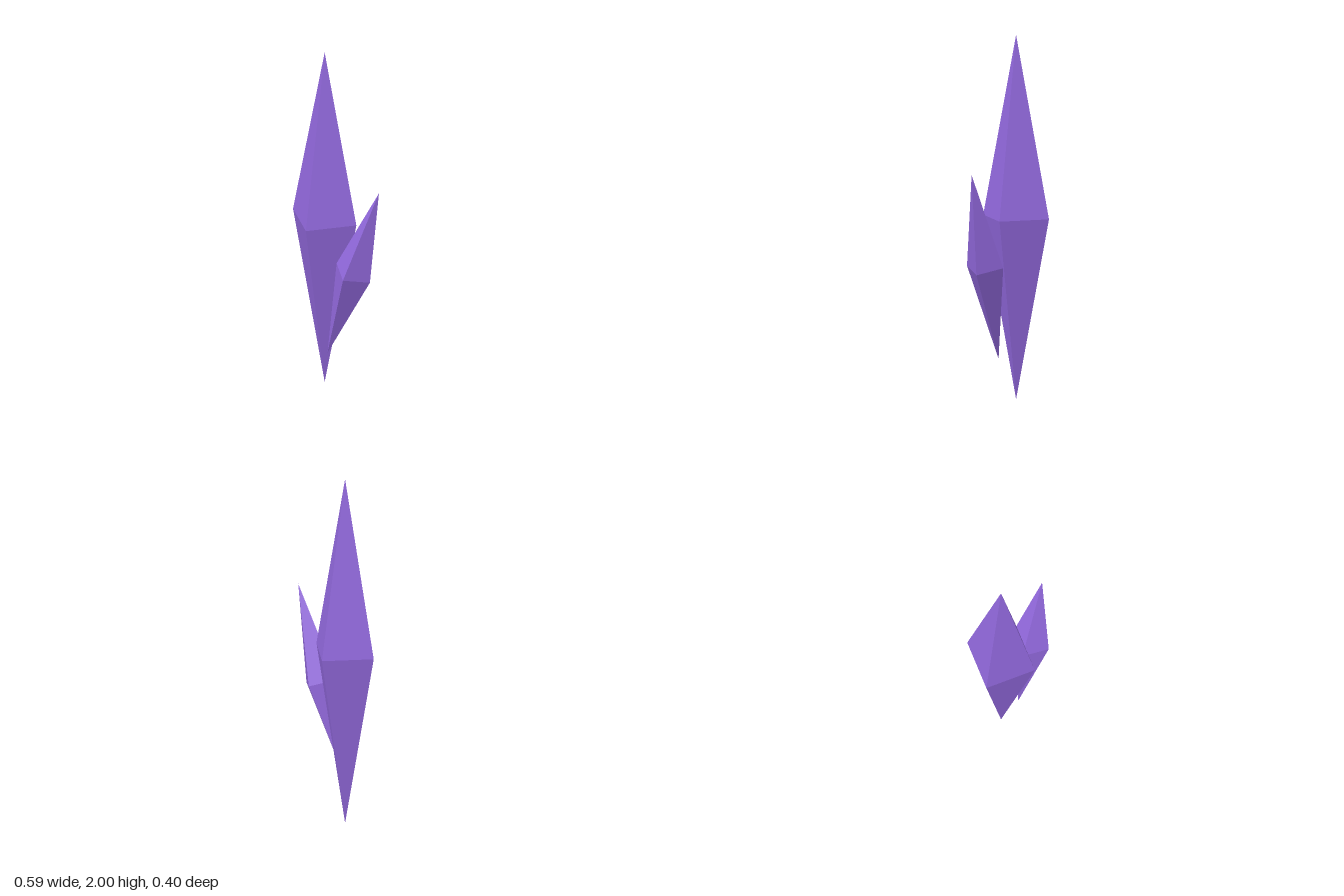
import * as THREE from 'three';

export function createModel() {
  const model = new THREE.Group();
  model.name = 'crystalCluster';

  const purple = new THREE.MeshStandardMaterial({ color: 0x946ae0 });
  purple.name = 'crystal purple';

  // A stretched eight-faced shard; detail 0 gives flat facets
  const shardGeometry = new THREE.OctahedronGeometry(1, 0);
  shardGeometry.scale(0.2, 1, 0.2);

  function addShard(name, position, scale, tilt) {
    const shard = new THREE.Mesh(shardGeometry, purple);
    shard.name = name;
    shard.position.set(...position);
    shard.scale.setScalar(scale);
    shard.rotation.z = tilt;
    model.add(shard);
  }

  // Tall upright crystal and a smaller one leaning away from it
  addShard('mainCrystal', [-0.094, 1, 0], 1, 0);
  addShard('sideCrystal', [0.131, 0.75, 0.075], 0.55, -0.3);

  return model;
}
